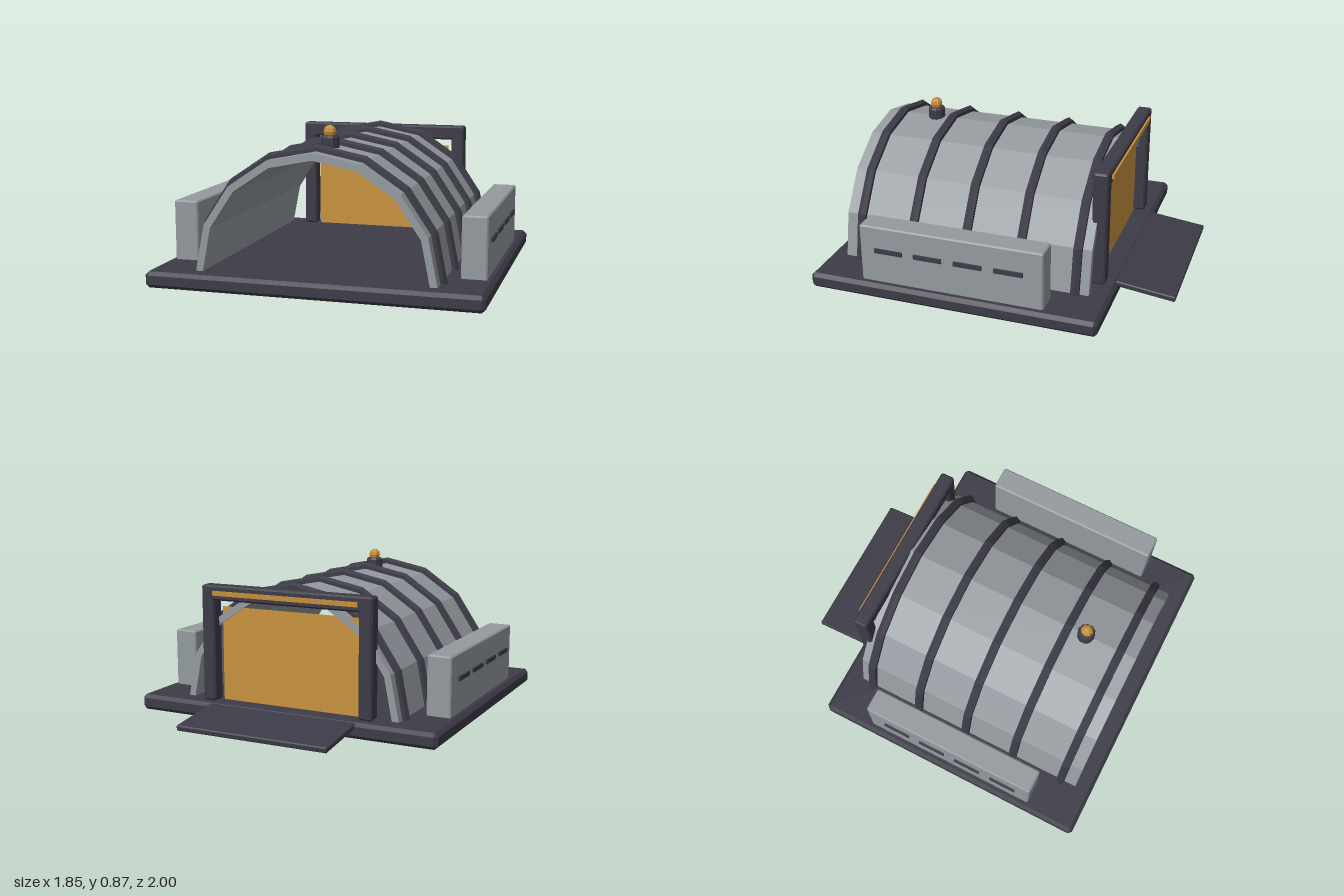
import * as THREE from 'three';
import { ConvexGeometry } from 'three/addons/geometries/ConvexGeometry.js';

const material = (name, color, extra = {}) => {
  const m = new THREE.MeshStandardMaterial({ color, ...extra });
  m.name = name;
  return m;
};

// Faceted copy of a smooth geometry
function faceted(geometry) {
  const g = geometry.index ? geometry.toNonIndexed() : geometry;
  g.computeVertexNormals();
  return g;
}

// Box with every edge cut by a chamfer c
function chamferBox(w, h, d, c) {
  const half = [w / 2, h / 2, d / 2];
  const points = [];
  for (const sx of [-1, 1]) for (const sy of [-1, 1]) for (const sz of [-1, 1]) {
    for (let axis = 0; axis < 3; axis++) {
      const p = half.map((v, i) => (i === axis ? v : v - c));
      points.push(new THREE.Vector3(p[0] * sx, p[1] * sy, p[2] * sz));
    }
  }
  return new ConvexGeometry(points);
}

export function createModel() {
  const model = new THREE.Group();
  model.name = 'archedHangar';
  const dark = material('darkMetal', 0x3d3b47);
  const grey = material('greyMetal', 0x949a9f);
  const amber = material('amber', 0xc68d39);
  const amberSheet = material('amberSheet', 0xc8923e, { side: THREE.DoubleSide });

  const add = (name, geometry, mat, x = 0, y = 0, z = 0, parent = model) => {
    const mesh = new THREE.Mesh(geometry, mat);
    mesh.name = name;
    mesh.position.set(x, y, z);
    parent.add(mesh);
    return mesh;
  };

  const floor = 0.09;

  // Base slab and sloping rear ramp
  add('base', chamferBox(1.85, floor, 1.675, 0.02), dark, 0, floor / 2, 0.1625);
  add('ramp', chamferBox(0.915, 0.032, 0.4, 0.006), dark, 0, 0.053, -0.8).rotation.x = -0.123;

  // Eight-sided half-round shell, open at both ends
  const segments = 8;
  const arc = (r) => Array.from({ length: segments + 1 }, (_, i) => {
    const a = (i / segments) * Math.PI;
    return new THREE.Vector2(Math.cos(a) * r, Math.sin(a) * r);
  });
  const section = new THREE.Shape([...arc(0.665), ...arc(0.625).reverse()]);
  add('shell', new THREE.ExtrudeGeometry(section, { depth: 1.46, bevelEnabled: false }),
    grey, 0, floor, -0.56);

  // Ribs over the shell
  const ribGeometry = faceted(new THREE.TorusGeometry(0.672, 0.028, 6, segments, Math.PI));
  for (let i = -2; i <= 2; i++) add('rib', ribGeometry, dark, 0, floor, 0.16 + i * 0.322);

  // Rear gate: posts, beam, light strip and amber screen
  const gate = new THREE.Group();
  gate.name = 'rearGate';
  model.add(gate);
  for (const s of [-1, 1]) {
    add('gatePost', chamferBox(0.08, 0.67, 0.085, 0.01), dark, s * 0.49, 0.425, -0.5725, gate);
  }
  add('gateBeam', chamferBox(1.06, 0.085, 0.085, 0.01), dark, 0, 0.7175, -0.5725, gate);
  add('lightStrip', new THREE.BoxGeometry(0.9, 0.026, 0.02), amber, 0, 0.717, -0.617, gate);
  add('screen', new THREE.PlaneGeometry(0.86, 0.545), amberSheet, 0, 0.3625, -0.55, gate);

  // Side cabinets with vent slots on the outer face
  for (const s of [-1, 1]) {
    const cabinet = new THREE.Group();
    cabinet.name = s > 0 ? 'leftCabinet' : 'rightCabinet';
    model.add(cabinet);
    add('cabinetBody', chamferBox(0.14, 0.345, 1.06, 0.008), grey, s * 0.815, 0.2575, 0.16, cabinet);
    for (let i = 0; i < 4; i++) {
      add('vent', new THREE.BoxGeometry(0.02, 0.025, 0.162), dark,
        s * 0.887, 0.288, 0.52 - i * 0.2325, cabinet);
    }
  }

  // Roof beacon
  const mount = [[0, 0], [0.05, 0], [0.05, 0.06], [0.042, 0.072], [0, 0.072]]
    .map(([x, y]) => new THREE.Vector2(x, y));
  add('beaconMount', faceted(new THREE.LatheGeometry(mount, 10)), dark, 0, 0.742, 0.59);
  add('beaconLamp', faceted(new THREE.SphereGeometry(0.036, 8, 6)), amber, 0, 0.834, 0.59);

  return model;
}
